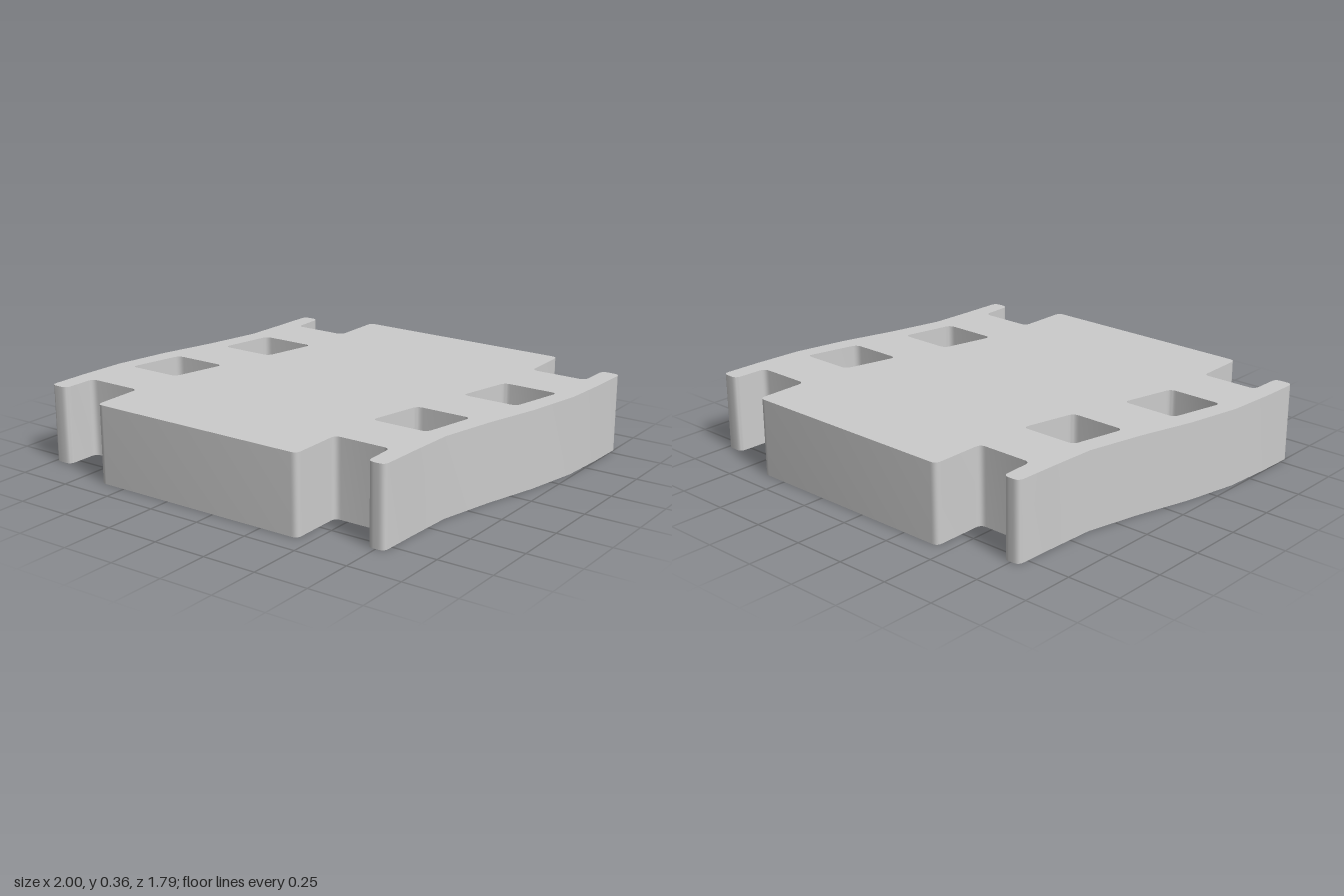
import * as THREE from 'three';
import { toCreasedNormals } from 'three/addons/utils/BufferGeometryUtils.js';

const HEIGHT = 0.36;

// Closed path through [x, z, radius] corners, rounding each corner that has a radius
function roundedPath(path, corners) {
  const n = corners.length;
  const point = (i) => new THREE.Vector2(corners[(i + n) % n][0], corners[(i + n) % n][1]);
  for (let i = 0; i < n; i++) {
    const p = point(i), r = corners[i][2] || 0;
    const toward = (q) => p.clone().add(q.sub(p).setLength(r));
    const a = toward(point(i - 1)), b = toward(point(i + 1));
    if (i === 0) path.moveTo(a.x, a.y);
    else path.lineTo(a.x, a.y);
    if (r > 0) path.quadraticCurveTo(p.x, p.y, b.x, b.y);
  }
  path.closePath();
  return path;
}

// Half-turn about the vertical axis
const turned = (corners) => corners.map(([x, z, r]) => [-x, -z, r]);

export function createModel() {
  const group = new THREE.Group();
  group.name = 'slottedPlate';

  // Half of the outline: back tongue, notch, prong, swept side, prong, notch
  const R = 0.03;
  const half = [
    [-0.437, -0.897, R], [0.633, -0.897, R], [0.638, -0.642, R], [0.908, -0.642, R],
    [0.911, -0.807, R], [1.0, -0.807, R],
    [0.996, -0.61], [0.983, -0.385], [0.933, -0.13], [0.862, 0.125], [0.804, 0.385], [0.795, 0.61],
    [0.79, 0.803, R], [0.709, 0.803, R], [0.704, 0.638, R], [0.437, 0.638, R],
  ];
  const shape = roundedPath(new THREE.Shape(), [...half, ...turned(half)]);

  // Slanted windows
  const windows = [
    [[0.637, -0.388, R], [0.9, -0.388, R], [0.84, -0.13, R], [0.575, -0.13, R]],
    [[0.502, 0.125, R], [0.767, 0.125, R], [0.712, 0.383, R], [0.443, 0.383, R]],
  ];
  for (const w of windows) {
    shape.holes.push(roundedPath(new THREE.Path(), w), roundedPath(new THREE.Path(), turned(w)));
  }

  // Plate: shape lies in x/z, extruded downwards from the top face
  const geometry = new THREE.ExtrudeGeometry(shape, { depth: HEIGHT, bevelEnabled: false, curveSegments: 6 });
  geometry.rotateX(Math.PI / 2);
  geometry.translate(0, HEIGHT, 0);

  const plate = new THREE.Mesh(
    toCreasedNormals(geometry, 0.7),
    new THREE.MeshStandardMaterial({ color: 0xcccccc })
  );
  plate.name = 'plate';
  group.add(plate);
  return group;
}
